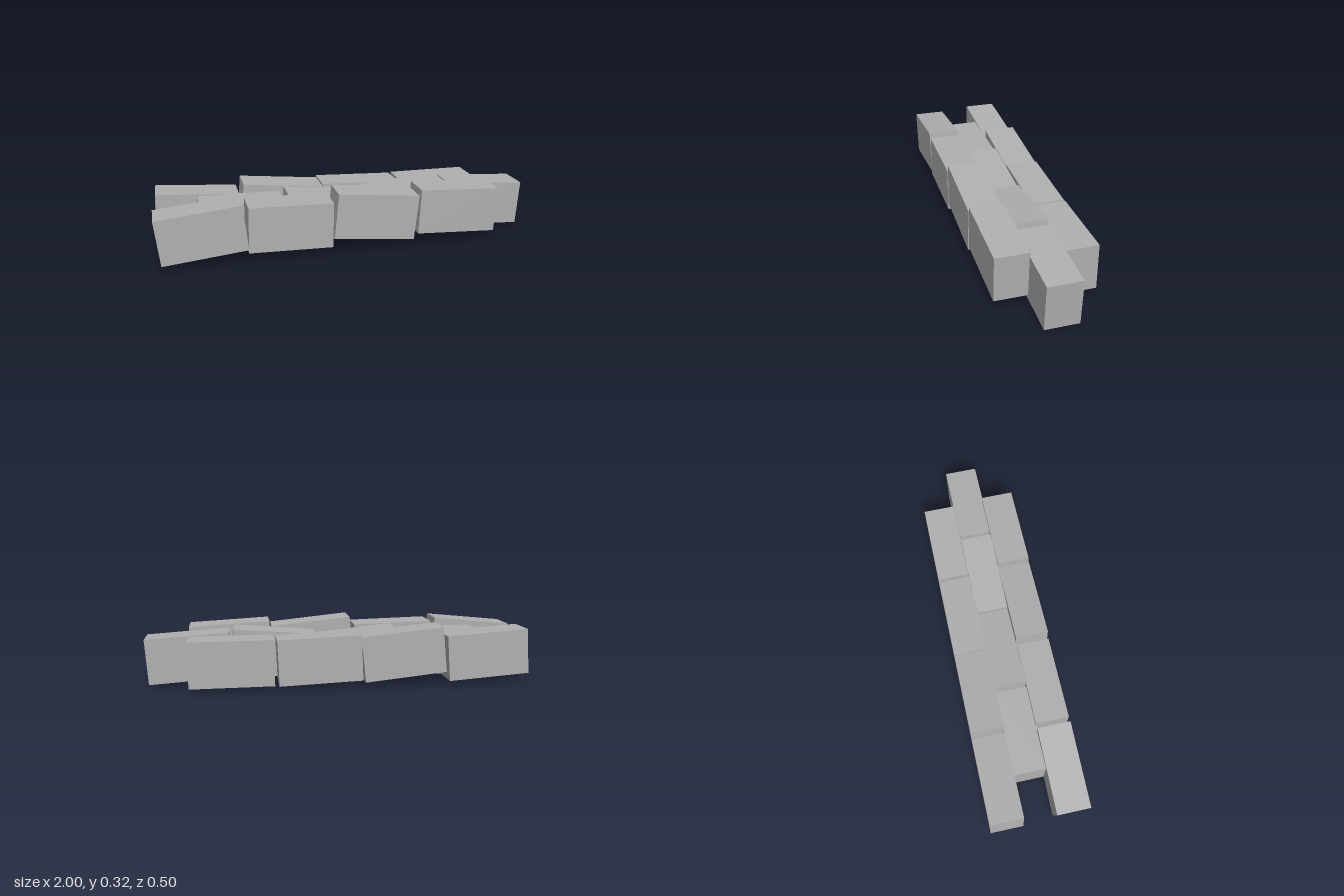
import * as THREE from 'three';

const LENGTH = 0.43, HEIGHT = 0.237, DEPTH = 0.17;

// Each row: depth position and its bricks as [x, y, tilt about z]
const ROWS = [
  { name: 'frontRow', z: 0.165, bricks: [
    [-0.776, 0.164, 0.1], [-0.334, 0.163, -0.025], [0.112, 0.18, -0.1], [0.558, 0.175, -0.053]] },
  { name: 'middleRow', z: 0, bricks: [
    [-0.557, 0.14, -0.01], [-0.113, 0.14, -0.1], [0.335, 0.156, 0.08], [0.775, 0.143, -0.065]] },
  { name: 'backRow', z: -0.165, bricks: [
    [-0.775, 0.152, -0.07], [-0.325, 0.165, -0.1], [0.11, 0.147, -0.04], [0.558, 0.141, -0.005]] },
];

export function createModel() {
  const model = new THREE.Group();
  model.name = 'brickPath';
  const stone = new THREE.MeshStandardMaterial({ color: 0xb0b0b0 });
  stone.name = 'grey stone';
  const block = new THREE.BoxGeometry(LENGTH, HEIGHT, DEPTH);

  // Staggered rows of unevenly laid bricks
  for (const { name, z, bricks } of ROWS) {
    const row = new THREE.Group();
    row.name = name;
    row.position.z = z;
    bricks.forEach(([x, y, tilt], i) => {
      const brick = new THREE.Mesh(block, stone);
      brick.name = `brick${i + 1}`;
      brick.position.set(x, y, 0);
      brick.rotation.z = tilt;
      row.add(brick);
    });
    model.add(row);
  }
  return model;
}
